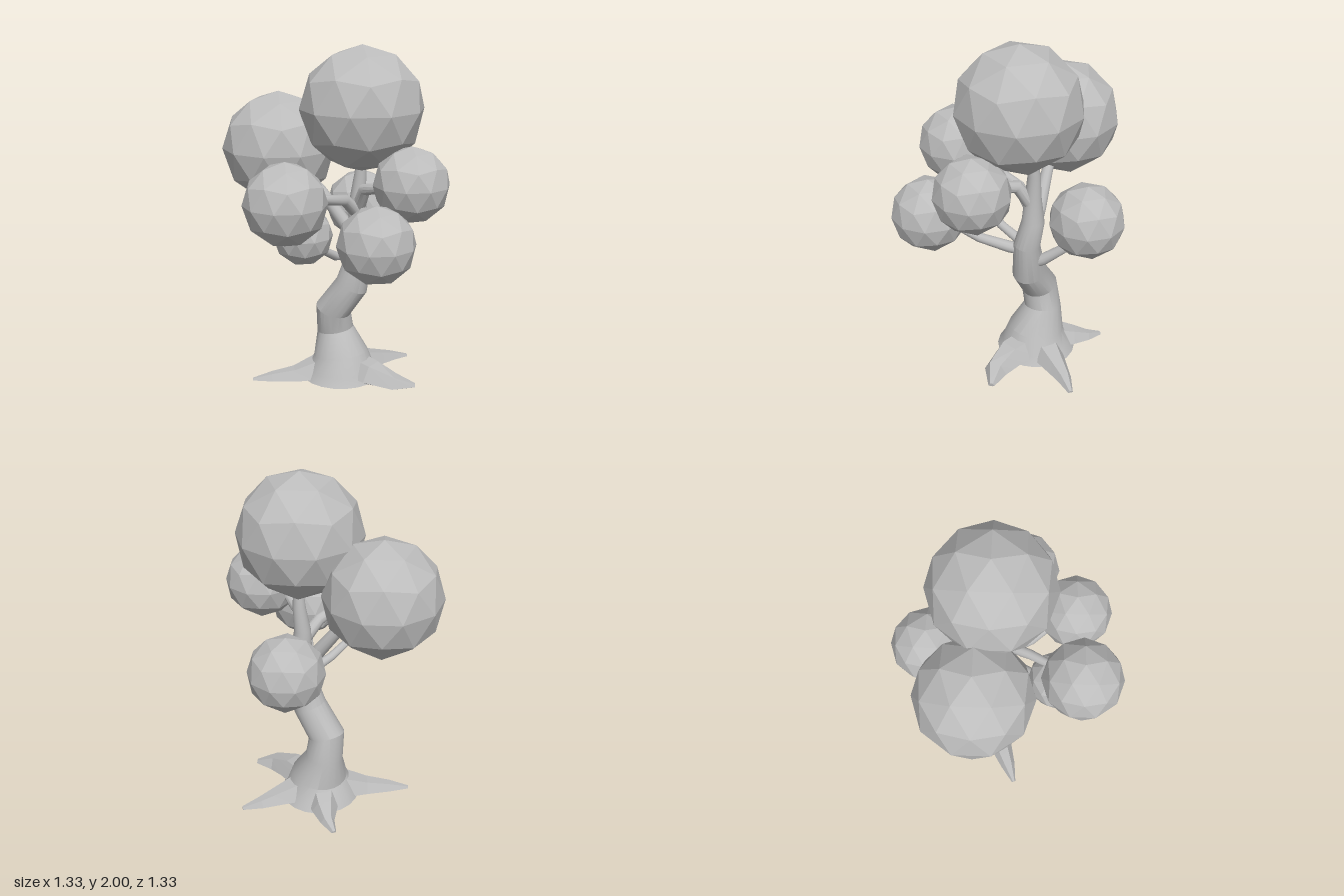
import * as THREE from 'three';
import { toCreasedNormals } from 'three/addons/utils/BufferGeometryUtils.js';

const clay = new THREE.MeshStandardMaterial({ color: 0xbcbcbc });
clay.name = 'light grey';

// Tapered limb through rows of [x, y, z, radius], kept above the ground, with closed ends.
function limbGeometry(rows, sides, crease) {
  const pts = rows.map(r => new THREE.Vector3(r[0], r[1], r[2]));
  const n = pts.length;
  const dir = pts[n - 1].clone().sub(pts[0]);
  const d = [Math.abs(dir.x), Math.abs(dir.y), Math.abs(dir.z)];
  const ref = new THREE.Vector3().setComponent(d.indexOf(Math.min(...d)), 1);
  const pos = [], idx = [];
  const push = p => pos.push(p.x, Math.max(0, p.y), p.z);
  pts.forEach((p, i) => {
    const t = new THREE.Vector3();
    if (i > 0) t.add(p.clone().sub(pts[i - 1]).normalize());
    if (i < n - 1) t.add(pts[i + 1].clone().sub(p).normalize());
    t.normalize();
    const u = ref.clone().cross(t).normalize();
    const v = t.clone().cross(u);
    for (let j = 0; j < sides; j++) {
      const a = (j / sides) * Math.PI * 2;
      push(p.clone().addScaledVector(u, Math.cos(a) * rows[i][3]).addScaledVector(v, Math.sin(a) * rows[i][3]));
    }
  });
  push(pts[0]);
  push(pts[n - 1]);
  const start = n * sides, end = start + 1, last = (n - 1) * sides;
  for (let j = 0; j < sides; j++) {
    const k = (j + 1) % sides;
    for (let i = 0; i < n - 1; i++) {
      const a = i * sides + j, b = i * sides + k;
      idx.push(a, b, b + sides, a, b + sides, a + sides);
    }
    idx.push(start, k, j, end, last + j, last + k);
  }
  const geo = new THREE.BufferGeometry();
  geo.setAttribute('position', new THREE.Float32BufferAttribute(pos, 3));
  geo.setIndex(idx);
  return toCreasedNormals(geo, crease);
}

export function createModel() {
  const tree = new THREE.Group();
  tree.name = 'tree';
  const add = (name, geo) => {
    const mesh = new THREE.Mesh(geo, clay);
    mesh.name = name;
    tree.add(mesh);
    return mesh;
  };

  // Crooked trunk with a flared foot
  add('trunk', limbGeometry([
    [0.02, 0, -0.14, 0.235], [0.02, 0.05, -0.14, 0.205], [0.02, 0.14, -0.14, 0.165],
    [-0.02, 0.285, -0.165, 0.11], [-0.025, 0.42, -0.14, 0.107], [0.09, 0.585, -0.115, 0.098],
    [0.14, 0.8, -0.12, 0.076], [0.125, 0.95, -0.15, 0.065], [0.115, 1.1, -0.145, 0.047],
    [0.13, 1.25, -0.155, 0.036], [0.14, 1.4, -0.14, 0.025],
  ], 20, 0.4));

  // Branches reaching into the foliage
  const branches = {
    frontLeftBranch: [[0.13, 0.75, -0.1, 0.035], [0.145, 0.76, -0.01, 0.034], [0.2, 0.82, 0.15, 0.028], [0.28, 0.94, 0.3, 0.02]],
    backBranch: [[0.12, 0.66, -0.13, 0.04], [0.12, 0.71, -0.22, 0.034], [0.1, 0.82, -0.36, 0.026], [0.09, 0.92, -0.42, 0.02]],
    frontRightBranch: [[0.12, 0.78, -0.1, 0.03], [0.03, 0.82, 0.08, 0.026], [-0.08, 0.93, 0.24, 0.02]],
    rightBranch: [[0.13, 0.85, -0.14, 0.045], [0.02, 0.98, -0.15, 0.04], [-0.1, 1.14, -0.15, 0.034], [-0.25, 1.3, -0.15, 0.025]],
    upperRightBranch: [[0.12, 1.02, -0.14, 0.04], [0.06, 1.12, -0.04, 0.034], [-0.02, 1.16, 0.14, 0.028], [-0.13, 1.19, 0.34, 0.02]],
    leftBranch: [[0.12, 1.05, -0.14, 0.04], [0.17, 1.18, -0.07, 0.036], [0.26, 1.21, 0.01, 0.03], [0.4, 1.24, 0.06, 0.02]],
  };
  for (const [name, rows] of Object.entries(branches)) add(name, limbGeometry(rows, 12, 0.6));

  // Faceted roots spreading on the ground
  const roots = {
    leftRoot: [[0.1, 0.04, -0.13, 0.11], [0.23, 0.03, -0.05, 0.1], [0.37, 0.01, -0.01, 0.07], [0.49, 0.005, -0.03, 0.018]],
    rightRoot: [[-0.08, 0.02, -0.1, 0.12], [-0.24, 0, -0.02, 0.07], [-0.37, 0, 0.03, 0.045], [-0.48, 0, 0.07, 0.012]],
    backLeftRoot: [[0.1, 0.03, -0.22, 0.11], [0.2, 0.02, -0.32, 0.075], [0.29, 0.01, -0.41, 0.045], [0.38, 0, -0.48, 0.014]],
    backRightRoot: [[-0.03, 0.03, -0.22, 0.11], [-0.09, 0.02, -0.34, 0.075], [-0.14, 0.01, -0.42, 0.042], [-0.205, 0, -0.485, 0.014]],
  };
  for (const [name, rows] of Object.entries(roots)) add(name, limbGeometry(rows, 6, 0.1));

  // Foliage balls: 80-sided icospheres standing on a vertex
  const ball = new THREE.IcosahedronGeometry(1, 1);
  ball.rotateX(-Math.atan((1 + Math.sqrt(5)) / 2)).rotateY(Math.PI / 2);
  ball.computeVertexNormals();
  const foliage = {
    crownFoliage: [0.15, 1.645, -0.075, 0.355],
    rightFoliage: [-0.355, 1.39, -0.155, 0.33],
    frontRightFoliage: [-0.17, 1.2, 0.43, 0.23],
    leftFoliage: [0.455, 1.255, 0.075, 0.215],
    frontLeftFoliage: [0.315, 0.995, 0.398, 0.215],
    backFoliage: [0.085, 0.995, -0.45, 0.215],
    smallFoliage: [-0.107, 0.995, 0.295, 0.165],
  };
  for (const [name, [x, y, z, r]] of Object.entries(foliage)) {
    const mesh = add(name, ball);
    mesh.position.set(x, y, z);
    mesh.scale.setScalar(r);
  }
  return tree;
}
